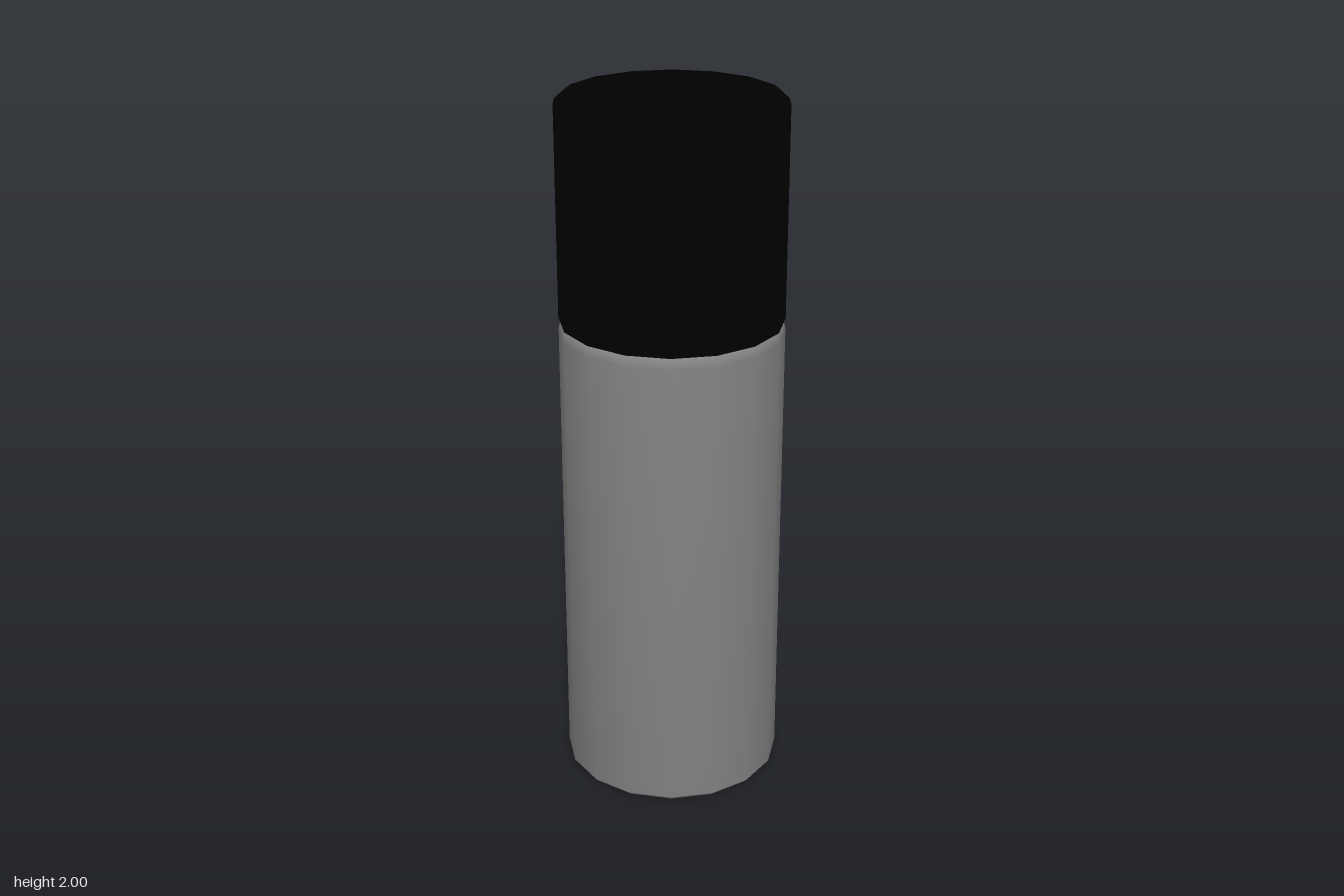
import * as THREE from 'three';
import { toCreasedNormals } from 'three/addons/utils/BufferGeometryUtils.js';

const SIDES = 16;

// Turned part: profile runs from the bottom axis, up the outside, to the top axis
function turned(name, color, profile) {
  const points = profile.map(([r, y]) => new THREE.Vector2(r, y));
  const geometry = toCreasedNormals(new THREE.LatheGeometry(points, SIDES), 0.65);
  const mesh = new THREE.Mesh(geometry, new THREE.MeshStandardMaterial({ color }));
  mesh.name = name;
  return mesh;
}

export function createModel() {
  const group = new THREE.Group();
  group.name = 'cappedContainer';

  // Body with a recessed base, rounded shoulder and a short neck inside the cap
  group.add(turned('body', 0x808080, [
    [0, 0.025], [0.27, 0.025], [0.28, 0], [0.307, 0], [0.314, 0.008],
    [0.314, 1.345], [0.311, 1.36], [0.303, 1.371], [0.288, 1.376],
    [0.28, 1.376], [0.28, 1.4], [0, 1.4],
  ]));

  // Cap with a small bevel round the top
  group.add(turned('cap', 0x000000, [
    [0, 1.378], [0.314, 1.378], [0.314, 1.975], [0.309, 1.99], [0.296, 2], [0, 2],
  ]));

  return group;
}
